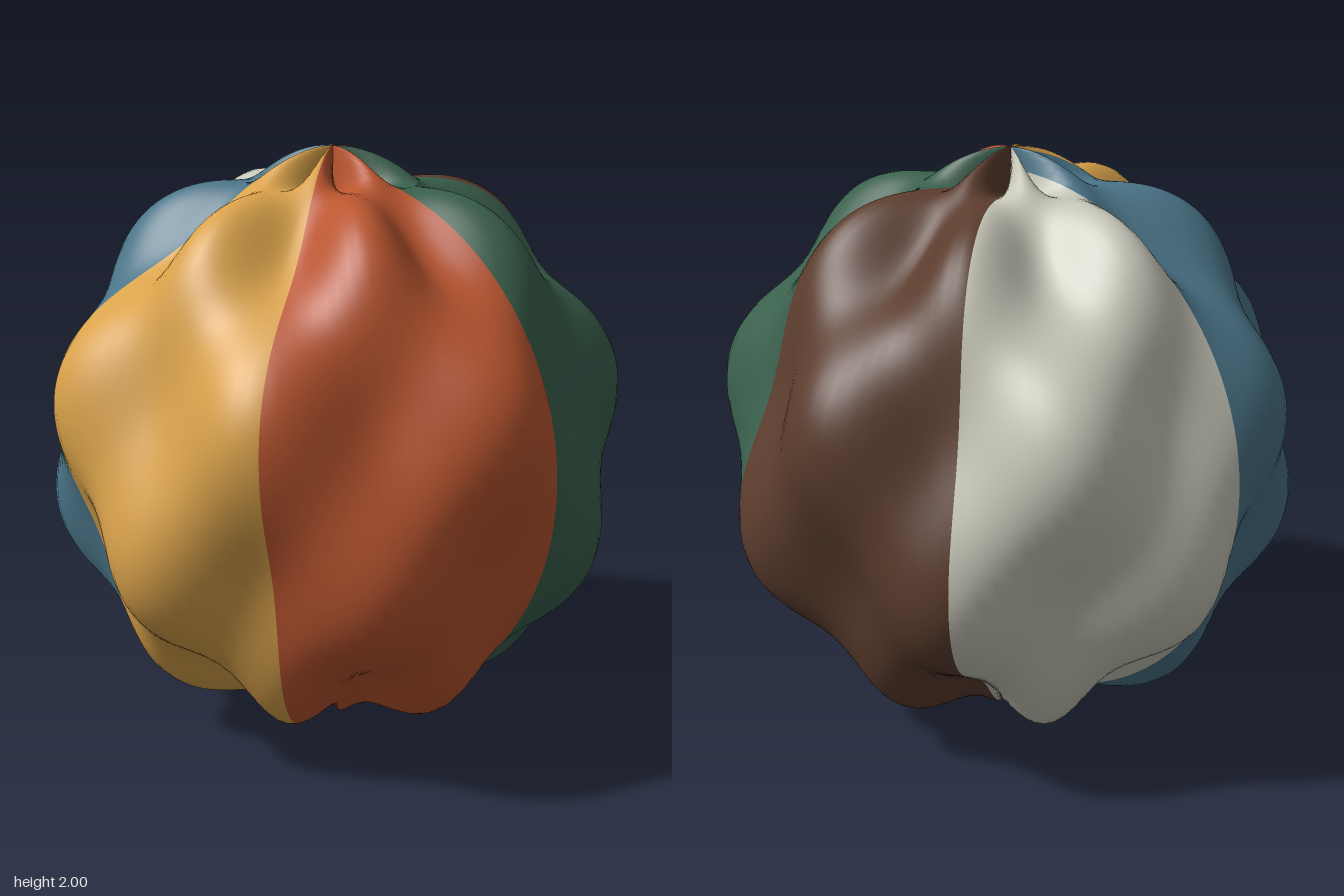
import * as THREE from 'three';

const SEGMENTS = 128; // around the axis
const ROWS = 96;      // pole to pole
const BASE = 0.926, WAVE = 0.074;

// Ball surface: a sphere rippled by crossed waves
function surface(theta, phi) {
  const r = BASE + WAVE * Math.sin(7 * phi) * Math.cos(5 * theta);
  return new THREE.Vector3(
    r * Math.sin(theta) * Math.cos(phi),
    1 + r * Math.cos(theta),
    r * Math.sin(theta) * Math.sin(phi));
}

// Smooth normal from the two surface tangents
function surfaceNormal(theta, phi) {
  const e = 1e-4;
  const t = Math.min(Math.max(theta, 0.004), Math.PI - 0.004);
  const alongPhi = surface(t, phi + e).sub(surface(t, phi - e));
  const alongTheta = surface(t + e, phi).sub(surface(t - e, phi));
  return alongPhi.cross(alongTheta).normalize();
}

// One coloured gore between two segment indices
function goreGeometry(start, end) {
  const positions = [], normals = [], indices = [];
  const columns = end - start + 1;
  for (let j = 0; j <= ROWS; j++) {
    for (let i = start; i <= end; i++) {
      const theta = (j / ROWS) * Math.PI;
      const phi = (i / SEGMENTS) * Math.PI * 2;
      positions.push(...surface(theta, phi).toArray());
      normals.push(...surfaceNormal(theta, phi).toArray());
    }
  }
  for (let j = 0; j < ROWS; j++) {
    for (let i = 0; i < columns - 1; i++) {
      const a = j * columns + i, b = a + columns;
      indices.push(a, a + 1, b, a + 1, b + 1, b);
    }
  }
  const geometry = new THREE.BufferGeometry();
  geometry.setAttribute('position', new THREE.Float32BufferAttribute(positions, 3));
  geometry.setAttribute('normal', new THREE.Float32BufferAttribute(normals, 3));
  geometry.setIndex(indices);
  return geometry;
}

export function createModel() {
  const model = new THREE.Group();
  model.name = 'rippledBall';

  // Six gores, in order from +x towards +z
  const colours = [
    ['rust', 0xb9552f],
    ['amber', 0xd9a24b],
    ['blue', 0x4a7488],
    ['cream', 0xc6c6b8],
    ['brown', 0x5c3d2e],
    ['green', 0x3a604d],
  ];
  colours.forEach(([name, color], k) => {
    const material = new THREE.MeshStandardMaterial({ color });
    material.name = name;
    const start = Math.ceil((k * SEGMENTS) / 6);
    const end = Math.ceil(((k + 1) * SEGMENTS) / 6);
    const gore = new THREE.Mesh(goreGeometry(start, end), material);
    gore.name = name + 'Gore';
    model.add(gore);
  });
  return model;
}
